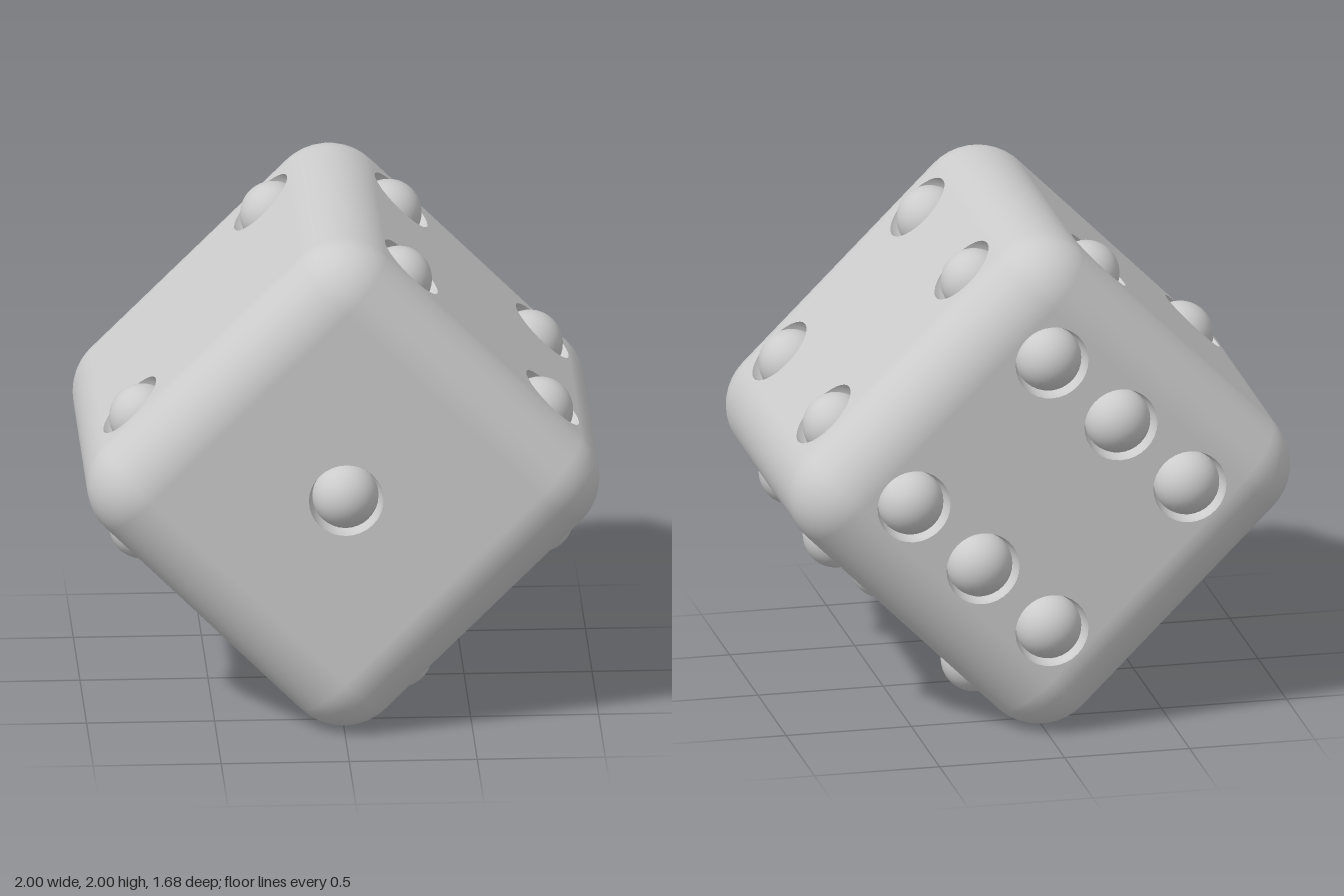
import * as THREE from 'three';
import { mergeGeometries } from 'three/addons/utils/BufferGeometryUtils.js';

const HALF = 0.778;        // half the cube's width
const ROUND = 0.24;        // edge rounding
const FLAT = HALF - ROUND; // half the flat part of a face
const D = 0.39;            // pip spacing
const SOCKET = 0.146;
const BALL = 0.13;

const grey = new THREE.MeshStandardMaterial({ color: 0xcccccc });
const greyInside = new THREE.MeshStandardMaterial({ color: 0xcccccc, side: THREE.BackSide });

// Rounded edges and corners joined into one frame
function frameGeometry() {
  const q = Math.PI / 2;
  const parts = [];
  const edge = new THREE.CylinderGeometry(ROUND, ROUND, 2 * FLAT, 10, 1, true, 0, q).translate(FLAT, 0, FLAT);
  const corner = new THREE.SphereGeometry(ROUND, 10, 10, 0, q, 0, q).translate(-FLAT, FLAT, FLAT);
  for (let k = 0; k < 4; k++) {
    const e = edge.clone().rotateY(k * q);
    const c = corner.clone().rotateY(k * q);
    parts.push(e, e.clone().rotateX(q), e.clone().rotateZ(q), c, c.clone().rotateX(Math.PI));
  }
  return mergeGeometries(parts);
}

// Flat face looking along +z, with a round socket and a ball for each pip
function makeFace(name, pips) {
  const face = new THREE.Group();
  face.name = name;
  const shape = new THREE.Shape([
    new THREE.Vector2(-FLAT, -FLAT), new THREE.Vector2(FLAT, -FLAT),
    new THREE.Vector2(FLAT, FLAT), new THREE.Vector2(-FLAT, FLAT),
  ]);
  const bowl = new THREE.SphereGeometry(SOCKET, 32, 8, 0, Math.PI * 2, Math.PI / 2, Math.PI / 2).rotateX(Math.PI / 2);
  const ball = new THREE.SphereGeometry(BALL, 32, 20).rotateX(Math.PI / 2);
  for (const [a, b] of pips) {
    const hole = new THREE.Path();
    hole.absarc(a * D, b * D, SOCKET, 0, Math.PI * 2, true);
    shape.holes.push(hole);

    const socket = new THREE.Mesh(bowl, greyInside);
    socket.name = 'pipSocket';
    socket.position.set(a * D, b * D, HALF);
    const pip = new THREE.Mesh(ball, grey);
    pip.name = 'pip';
    pip.position.set(a * D, b * D, HALF - 0.07);
    face.add(socket, pip);
  }
  const plate = new THREE.Mesh(new THREE.ShapeGeometry(shape, 16).translate(0, 0, HALF), grey);
  plate.name = 'facePlate';
  face.add(plate);
  return face;
}

export function createModel() {
  const model = new THREE.Group();
  model.name = 'die';

  const frame = new THREE.Mesh(frameGeometry(), grey);
  frame.name = 'roundedEdges';
  model.add(frame);

  // Pip layouts in units of the spacing
  const centre = [[0, 0]];
  const diagonal = [[1, 1], [-1, -1]];
  const corners = [...diagonal, [1, -1], [-1, 1]];
  const q = Math.PI / 2;
  const faces = [
    ['faceOne', centre, 0, 0],
    ['faceTwo', diagonal, -q, 0],
    ['faceThree', [...diagonal, ...centre], 0, -q],
    ['faceFour', corners, 0, q],
    ['faceFive', [...corners, ...centre], q, 0],
    ['faceSix', [...corners, [0, 1], [0, -1]], 0, Math.PI],
  ];
  for (const [name, pips, rx, ry] of faces) {
    const face = makeFace(name, pips);
    face.rotation.set(rx, ry, 0);
    model.add(face);
  }

  // Balanced on one edge
  model.rotation.z = Math.PI / 4;
  model.position.y = 1;
  const root = new THREE.Group();
  root.add(model);
  return root;
}
